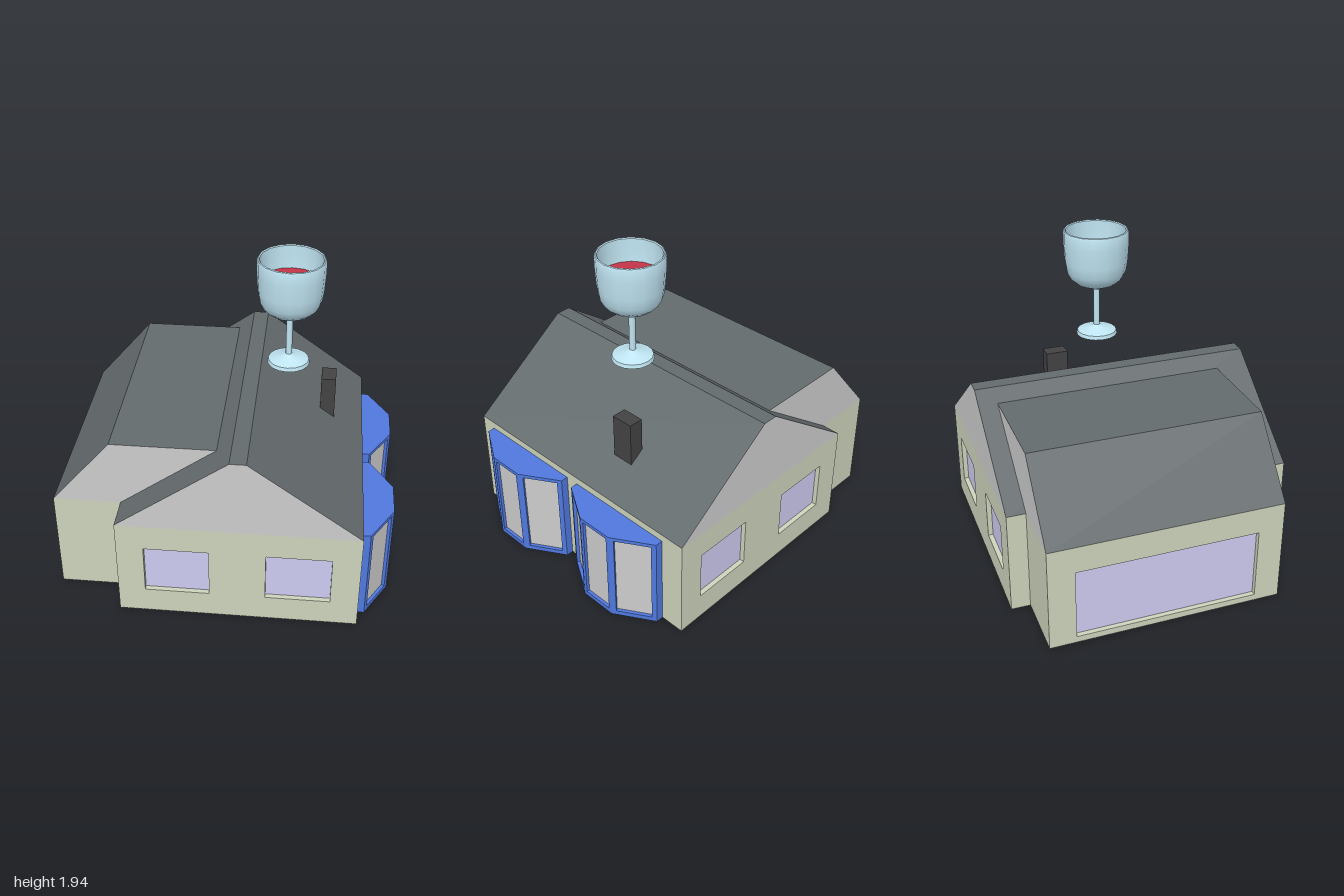
import * as THREE from 'three';
import { toCreasedNormals } from 'three/addons/utils/BufferGeometryUtils.js';

const mat = (color, side = THREE.FrontSide) => new THREE.MeshStandardMaterial({ color, side });
const GREY = mat(0xcccccc);
const WALL = mat(0xcdd3bc);
const ROOF = mat(0x646b6d);
const PANE = mat(0xcdcaf0);
const BLUE = mat(0x5078de);
const DARK = mat(0x434343);
const GLASS = mat(0xbfe4f2, THREE.DoubleSide);
const WINE = mat(0xc43448);

const EAVES = 0.645;

function part(name, geometry, material, parent) {
  const mesh = new THREE.Mesh(geometry, material);
  mesh.name = name;
  parent.add(mesh);
  return mesh;
}

const polygon = (pts) => new THREE.Shape(pts.map(([x, y]) => new THREE.Vector2(x, y)));
const extrude = (shape, depth) => new THREE.ExtrudeGeometry(shape, { depth, bevelEnabled: false });

// Upright panel from plan point a to b, with openings [u0, u1, y0, y1] closed by recessed panes
function panel(name, parent, a, b, y0, y1, depth, openings, material, paneMaterial) {
  const group = new THREE.Group();
  group.name = name;
  const dx = b[0] - a[0], dz = b[1] - a[1], length = Math.hypot(dx, dz);
  const shape = polygon([[0, y0], [length, y0], [length, y1], [0, y1]]);
  for (const [u0, u1, v0, v1] of openings) {
    shape.holes.push(polygon([[u0, v0], [u0, v1], [u1, v1], [u1, v0]]));
    const pane = part('pane', new THREE.PlaneGeometry(u1 - u0, v1 - v0), paneMaterial, group);
    pane.position.set((u0 + u1) / 2, (v0 + v1) / 2, -depth);
  }
  part('frame', extrude(shape, depth).translate(0, 0, -depth), material, group);
  group.position.set(a[0], 0, a[1]);
  group.rotation.y = Math.atan2(-dz, dx);
  parent.add(group);
}

// Horizontal slab from a plan outline of [x, z] points
function slab(name, parent, plan, y, height, material) {
  const geo = extrude(polygon(plan.map(([x, z]) => [x, -z])), height);
  part(name, geo.rotateX(-Math.PI / 2).translate(0, y, 0), material, parent);
}

// Roof prism: grey gable ends, dark slopes
function roof(name, parent, profile, z0, z1) {
  part(name, extrude(polygon(profile), z1 - z0).translate(0, 0, z0), [GREY, ROOF], parent);
}

function buildHouse(parent) {
  const L = -0.6, R = 0.815, B = -0.87, F = 0.865;
  const wl = -1, wb = -0.755, wf = 0.66;
  const pair = [[0.16, 0.54, 0.165, 0.48], [0.87, 1.25, 0.165, 0.48]];
  const wall = (name, a, b, openings = []) =>
    panel(name, parent, a, b, 0.002, EAVES, 0.03, openings, WALL, PANE);

  // Main block
  wall('frontWall', [L, F], [R, F], pair);
  wall('backWall', [R, B], [L, B], pair);
  wall('leftWall', [L, B], [L, F]);
  wall('rightWall', [R, F], [R, B]);
  roof('mainRoof', parent, [[L, EAVES], [R, EAVES], [0.155, 1.125], [0.06, 1.125]], B, F);

  // Side wing with one wide window
  wall('wingSideWall', [wl, wb], [wl, wf], [[0.16, 1.26, 0.04, 0.48]]);
  wall('wingFrontWall', [wl, wf], [L, wf]);
  wall('wingBackWall', [L, wb], [wl, wb]);
  roof('wingRoof', parent, [[wl, EAVES], [L, EAVES], [-0.03, 1.06], [-0.645, 1.06]], wb, wf);

  // Floor following the stepped outline
  slab('floor', parent, [[wl, wf], [L, wf], [L, F], [R, F], [R, B], [L, B], [L, wb], [wl, wb]],
    0, 0.001, GREY);

  // Chimney
  part('chimney', new THREE.BoxGeometry(0.09, 0.31, 0.14), DARK, parent)
    .position.set(0.58, 0.905, -0.22);
}

// Three-sided bay window centred on z
function buildBay(parent, z) {
  const bay = new THREE.Group();
  bay.name = 'bayWindow';
  const plan = [[0.815, 0.35], [0.86, 0.35], [1, 0.115], [1, -0.115], [0.86, -0.35], [0.815, -0.35]];
  for (let i = 0; i < plan.length - 1; i++) {
    const a = plan[i], b = plan[i + 1];
    const length = Math.hypot(b[0] - a[0], b[1] - a[1]);
    const border = i === 2 ? 0.02 : 0.03;
    const openings = length > 0.1 ? [[border, length - border, 0.03, 0.577]] : [];
    panel('bayFrame', bay, a, b, 0.02, 0.58, 0.02, openings, BLUE, GREY);
  }
  slab('baySill', bay, plan, 0, 0.02, BLUE);
  slab('bayTop', bay, plan, 0.58, 0.02, BLUE);
  bay.position.z = z;
  parent.add(bay);
}

// Stemmed drinking glass above the roof
function buildGoblet(parent) {
  const goblet = new THREE.Group();
  goblet.name = 'goblet';
  const profile = [
    [0, 1.26], [0.128, 1.26], [0.122, 1.283], [0.03, 1.31], [0.019, 1.318], [0.019, 1.555],
    [0.05, 1.565], [0.125, 1.6], [0.16, 1.63], [0.183, 1.675], [0.193, 1.74], [0.2, 1.85],
    [0.2, 1.92], [0.196, 1.932], [0.19, 1.936], [0.184, 1.93], [0.183, 1.85], [0.177, 1.75],
    [0.165, 1.68], [0.115, 1.62], [0, 1.585],
  ].map(([r, y]) => new THREE.Vector2(r, y));
  part('glass', toCreasedNormals(new THREE.LatheGeometry(profile, 16), 0.6), GLASS, goblet);
  part('wine', new THREE.CircleGeometry(0.179, 16).rotateX(-Math.PI / 2), WINE, goblet)
    .position.y = 1.79;
  goblet.position.set(0.33, 0, -0.015);
  parent.add(goblet);
}

export function createModel() {
  const model = new THREE.Group();
  model.name = 'house';
  buildHouse(model);
  for (const z of [0.415, -0.37]) buildBay(model, z);
  buildGoblet(model);
  return model;
}
